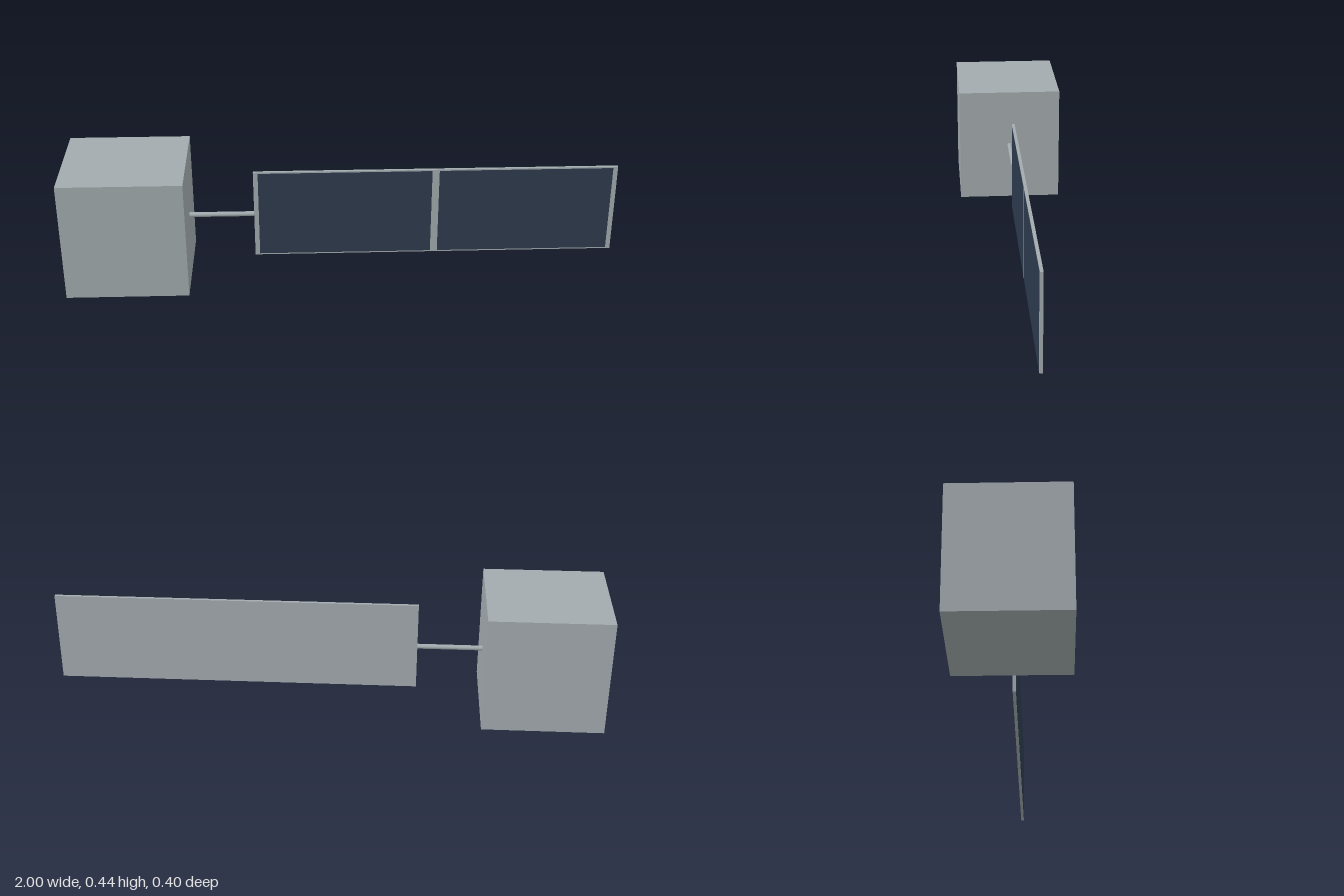
import * as THREE from 'three';

const MID_Y = 0.2225;

export function createModel() {
  const model = new THREE.Group();
  model.name = 'satelliteWithSolarPanel';

  const metal = new THREE.MeshStandardMaterial({ color: 0xa2aaad });
  metal.name = 'grey metal';
  const solar = new THREE.MeshStandardMaterial({ color: 0x2d3a4e });
  solar.name = 'dark blue solar cell';

  const add = (name, geometry, material, x, y, z) => {
    const mesh = new THREE.Mesh(geometry, material);
    mesh.name = name;
    mesh.position.set(x, y, z);
    model.add(mesh);
    return mesh;
  };

  // Body block
  add('body', new THREE.BoxGeometry(0.44, 0.445, 0.4), metal, -0.78, MID_Y, 0);

  // Boom from the body to the panel
  const boom = add('boom', new THREE.CylinderGeometry(0.009, 0.009, 0.24, 16), metal, -0.442, MID_Y, 0);
  boom.rotation.z = Math.PI / 2;

  // Panel backing; its rim and centre bar show around the cells
  add('panelFrame', new THREE.BoxGeometry(1.324, 0.34, 0.011), metal, 0.338, MID_Y, 0);

  // Two cell plates on the front face
  for (const [name, side] of [['rightSolarCell', -1], ['leftSolarCell', 1]]) {
    add(name, new THREE.BoxGeometry(0.632, 0.33, 0.002), solar, 0.338 + side * 0.329, MID_Y, 0.0055);
  }

  return model;
}
